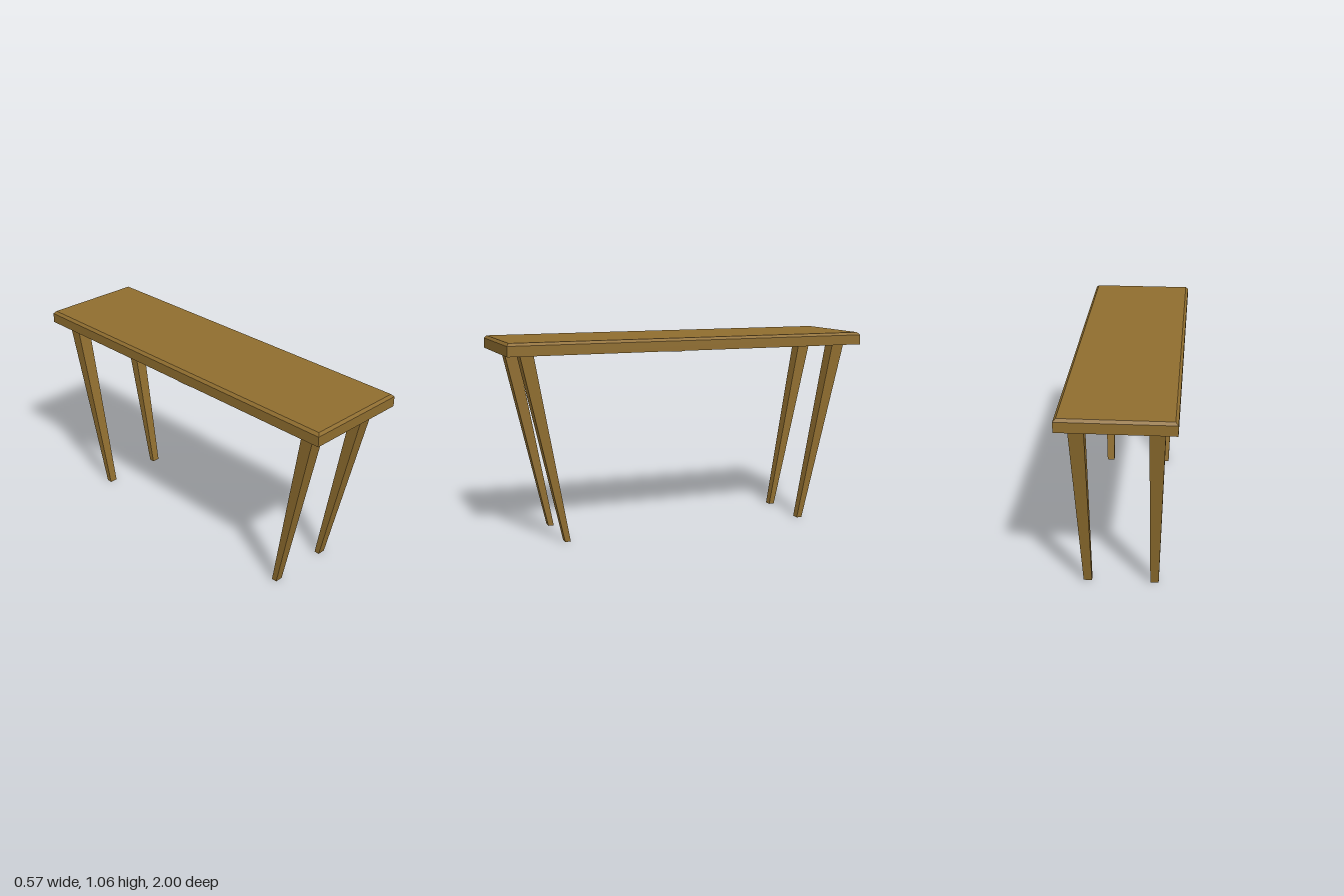
import * as THREE from 'three';

// Box whose bottom and top rectangles [x0, x1, z0, z1] may differ
function taperedBox(y0, y1, bottom, top) {
  const geo = new THREE.BoxGeometry(1, 1, 1);
  const p = geo.attributes.position;
  for (let i = 0; i < p.count; i++) {
    const up = p.getY(i) > 0;
    const r = up ? top : bottom;
    p.setXYZ(i, p.getX(i) > 0 ? r[1] : r[0], up ? y1 : y0, p.getZ(i) > 0 ? r[3] : r[2]);
  }
  geo.computeVertexNormals();
  return geo;
}

export function createModel() {
  const group = new THREE.Group();
  const wood = new THREE.MeshStandardMaterial({ color: 0x8f6d2f });
  wood.name = 'wood';
  const darkWood = new THREE.MeshStandardMaterial({ color: 0x4a3214 });
  darkWood.name = 'dark wood';

  const add = (name, geo, mat) => {
    const mesh = new THREE.Mesh(geo, mat);
    mesh.name = name;
    group.add(mesh);
  };

  // Table top: slab with a bevelled upper rim
  const slab = [-0.285, 0.285, -1, 1];
  add('tableTop', taperedBox(0.99, 1.043, slab, slab), wood);
  add('topBevel', taperedBox(1.043, 1.057, slab, [-0.271, 0.271, -0.988, 0.988]), wood);

  // Dark strip across the underside
  const strip = new THREE.BoxGeometry(0.57, 0.003, 0.08);
  strip.translate(0, 0.9895, 0.1);
  add('undersideStrip', strip, darkWood);

  // Four tapered legs, leaning inward towards the floor
  const range = (s, a, b, shift = 0) => [Math.min(s * a, s * b) + shift, Math.max(s * a, s * b) + shift];
  for (const sx of [-1, 1]) {
    for (const sz of [-1, 1]) {
      const name = (sz > 0 ? 'front' : 'back') + (sx > 0 ? 'Left' : 'Right') + 'Leg';
      const bottom = [...range(sx, 0.152, 0.195, 0.002), ...range(sz, 0.67, 0.7)];
      const top = [...range(sx, 0.152, 0.229, 0.002), ...range(sz, 0.855, 0.925)];
      add(name, taperedBox(0, 0.992, bottom, top), wood);
    }
  }
  return group;
}
